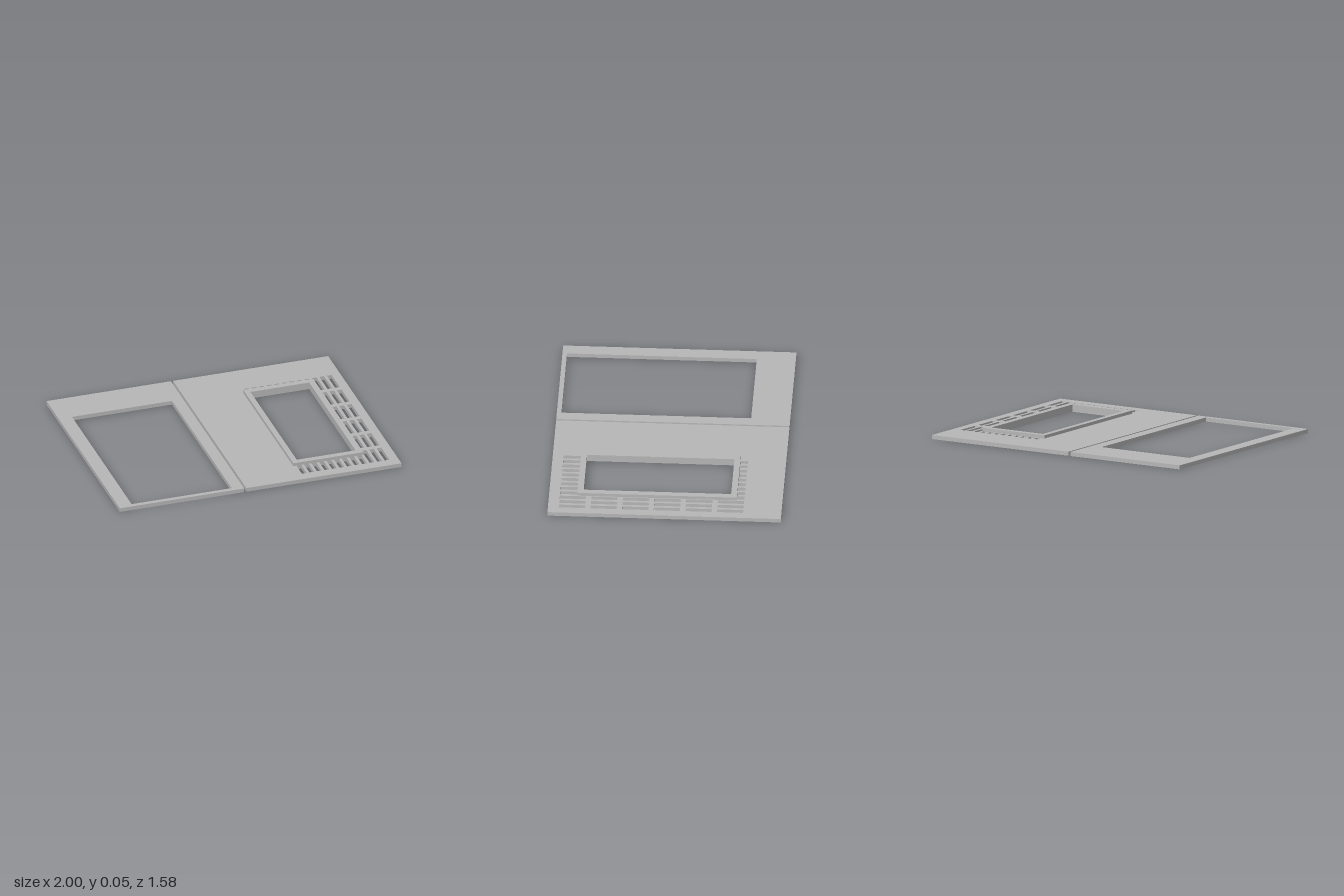
import * as THREE from 'three';

const PANEL = 0.028; // panel thickness
const RIM = 0.022; // raised frame height above the panel

// Rectangle as a closed outline; z runs to the front, so it is flipped into shape y
function outline(target, [x0, x1, z0, z1]) {
  target.moveTo(x0, -z1);
  target.lineTo(x1, -z1);
  target.lineTo(x1, -z0);
  target.lineTo(x0, -z0);
  target.closePath();
  return target;
}

// Flat slab lying on y = base with rectangular holes
function slab(name, rect, holes, base, height, material) {
  const shape = outline(new THREE.Shape(), rect);
  for (const h of holes) shape.holes.push(outline(new THREE.Path(), h));
  const geometry = new THREE.ExtrudeGeometry(shape, { depth: height, bevelEnabled: false });
  geometry.rotateX(-Math.PI / 2);
  geometry.translate(0, base, 0);
  const mesh = new THREE.Mesh(geometry, material);
  mesh.name = name;
  return mesh;
}

export function createModel() {
  const group = new THREE.Group();
  group.name = 'panelPair';
  const grey = new THREE.MeshStandardMaterial({ color: 0xb8b8b8 });
  grey.name = 'grey';

  // Plain panel with one large opening
  group.add(slab('openPanel', [-1, -0.117, -0.788, 0.788], [[-0.906, -0.196, -0.524, 0.757]], 0, PANEL, grey));

  // Slots around the raised frame: short ones at its ends, six rows beside it
  const frame = [0.295, 0.792, -0.48, 0.597];
  const opening = [0.333, 0.75, -0.439, 0.556];
  const slots = [];
  for (let col = 0; col < 12; col++) {
    const x0 = 0.317 + col * 0.0535;
    const x1 = x0 + 0.033;
    if (col < 9) {
      slots.push([x0, x1, -0.53, frame[2]], [x0, x1, frame[3], 0.714]);
    } else {
      for (let row = 0; row < 6; row++) {
        const z0 = -0.53 + row * 0.2134;
        slots.push([x0, x1, z0, z0 + 0.177]);
      }
    }
  }
  group.add(slab('slottedPanel', [-0.102, 1, -0.788, 0.788], [opening, ...slots], 0, PANEL, grey));

  // Raised frame round the narrow opening
  group.add(slab('raisedFrame', frame, [opening], PANEL, RIM, grey));
  return group;
}
